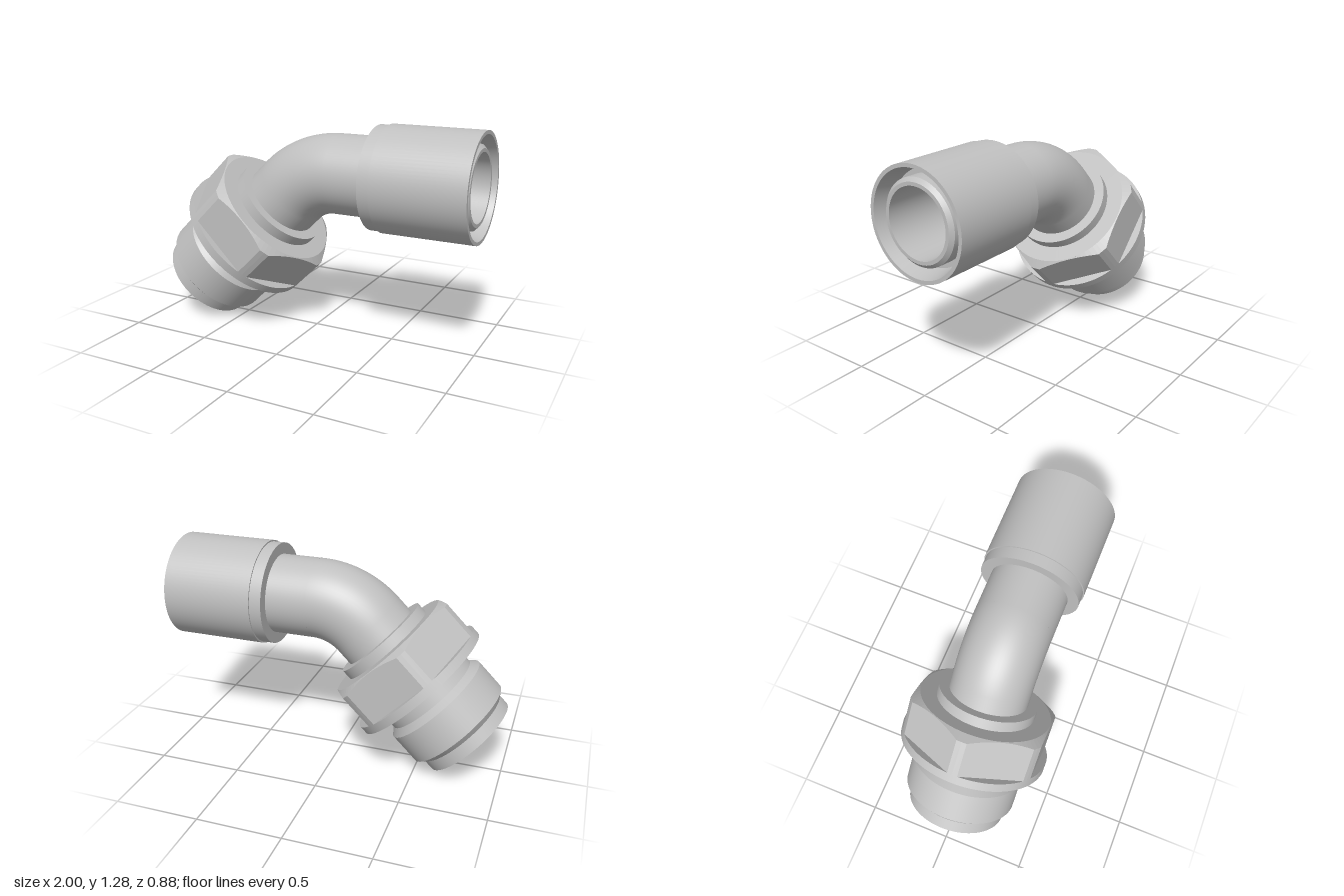
import * as THREE from 'three';
import { mergeGeometries } from 'three/addons/utils/BufferGeometryUtils.js';

const TUBE_R = 0.235, BORE_R = 0.194;     // pipe wall
const BEND_R = 0.44, BEND_X = 0.149;      // elbow radius and where it starts
const AXIS_Y = 0.97;                      // height of the straight pipe

const steel = new THREE.MeshStandardMaterial({ color: 0xc0c0c0, side: THREE.DoubleSide });
steel.name = 'steel';

function add(parent, name, geometry) {
  const mesh = new THREE.Mesh(geometry, steel);
  mesh.name = name;
  parent.add(mesh);
  return mesh;
}

// Turned part with a crisp edge at every profile point [radius, height]
function turned(profile) {
  const bands = [];
  for (let i = 0; i < profile.length - 1; i++) {
    const ends = [profile[i], profile[i + 1]].map(([r, h]) => new THREE.Vector2(r, h));
    bands.push(new THREE.LatheGeometry(ends, 96));
  }
  return mergeGeometries(bands);
}

// Hexagon with corners trimmed to a circle and a conical top chamfer
function hexNut(apothem, maxR, low, shoulder, top) {
  const half = Math.acos(apothem / maxR), angles = [];
  for (let k = 0; k < 6; k++) {
    const mid = k * Math.PI / 3;
    for (let i = 0; i <= 12; i++) angles.push(mid - half + 2 * half * i / 12);
    angles.push(mid + Math.PI / 6);
  }
  angles.push(angles[0] + 2 * Math.PI);
  const innerR = apothem - 0.005;
  const column = (a) => {
    const off = a - Math.round(a / (Math.PI / 3)) * Math.PI / 3;
    const r = Math.min(maxR, apothem / Math.cos(off));
    const h = shoulder + (top - shoulder) * (maxR - r) / (maxR - innerR);
    return [[r, low], [r, h], [innerR, top]].map(
      ([rad, y]) => [rad * Math.sin(a), y, rad * Math.cos(a)]);
  };
  const pos = [];
  for (let i = 0; i < angles.length - 1; i++) {
    const p = column(angles[i]), q = column(angles[i + 1]);
    for (let j = 0; j < 2; j++) {
      pos.push(...p[j], ...q[j], ...q[j + 1], ...p[j], ...q[j + 1], ...p[j + 1]);
    }
  }
  const g = new THREE.BufferGeometry();
  g.setAttribute('position', new THREE.Float32BufferAttribute(pos, 3));
  g.computeVertexNormals();
  return g;
}

export function createModel() {
  const model = new THREE.Group();
  model.name = 'elbowFitting';

  // Slanted end, built upright along y and then tilted
  const end = new THREE.Group();
  end.name = 'threadedEnd';
  end.position.set(-0.793, 0.21, 0);
  end.rotation.z = -Math.PI / 4;
  model.add(end);

  add(end, 'threadedBody', turned([
    [0.2, 0.25], [0.265, 0], [0.295, 0], [0.295, 0.073], [0.335, 0.108],
    [0.335, 0.3], [0.295, 0.338], [0.295, 0.43],
  ]));
  add(end, 'nutFlange', turned([[0.295, 0.43], [0.44, 0.43], [0.44, 0.482], [0.37, 0.482]]));
  add(end, 'hexNut', hexNut(0.395, 0.44, 0.482, 0.7, 0.73));
  add(end, 'nutFace', turned([[0.39, 0.73], [0.295, 0.73]]));
  add(end, 'retainingRing', turned([[0.295, 0.73], [0.295, 0.793], [TUBE_R, 0.793]]));
  add(end, 'lowerPipe', turned([[TUBE_R, 0.73], [TUBE_R, 0.893]]));
  add(end, 'lowerBore', turned([[BORE_R, 0.893], [BORE_R, 0.25], [0.2, 0.25]]));

  // Bent pipe, outer wall and bore
  for (const [name, r] of [['bend', TUBE_R], ['bendBore', BORE_R]]) {
    const bend = add(model, name, new THREE.TorusGeometry(BEND_R, r, 64, 32, Math.PI / 4));
    bend.position.set(BEND_X, AXIS_Y - BEND_R, 0);
    bend.rotation.z = Math.PI / 2;
  }

  // Straight end, built along y and laid along x
  const straight = new THREE.Group();
  straight.name = 'straightEnd';
  straight.position.y = AXIS_Y;
  straight.rotation.z = -Math.PI / 2;
  model.add(straight);

  add(straight, 'upperPipe', turned([[TUBE_R, BEND_X], [TUBE_R, 0.39]]));
  add(straight, 'crimpSleeve', turned([
    [TUBE_R, 0.39], [0.302, 0.39], [0.302, 0.46], [0.31, 0.46], [0.31, 1],
    [0.289, 1], [0.262, 0.88], [TUBE_R, 0.88],
  ]));
  add(straight, 'hoseNipple', turned([
    [TUBE_R, 0.88], [TUBE_R, 0.965], [0.214, 0.985], [BORE_R, 0.985], [BORE_R, BEND_X],
  ]));

  return model;
}
